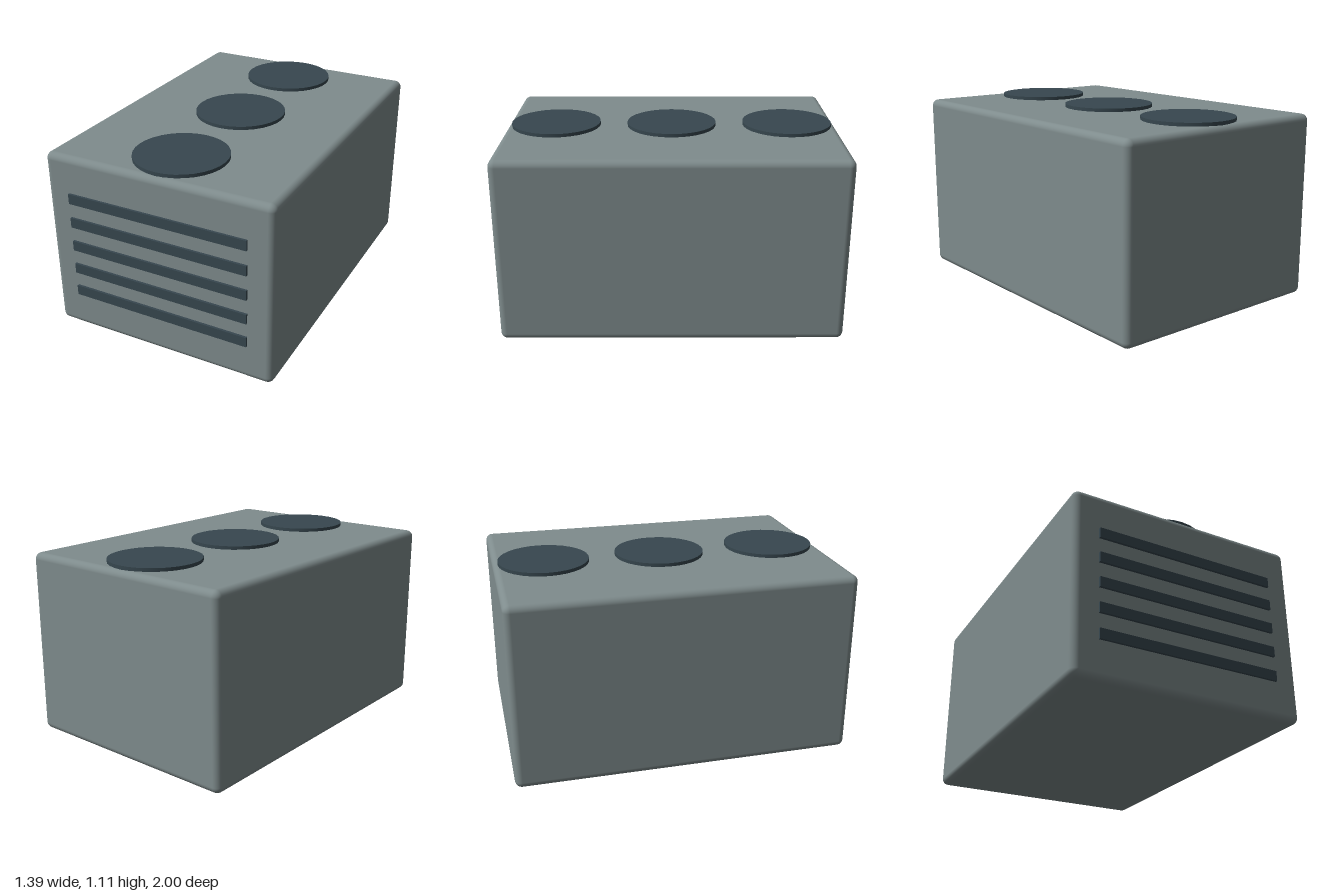
import * as THREE from 'three';
import { RoundedBoxGeometry } from 'three/addons/geometries/RoundedBoxGeometry.js';

export function createModel() {
  const group = new THREE.Group();
  const shell = new THREE.MeshStandardMaterial({ color: 0x7f8c8d });
  const dark = new THREE.MeshStandardMaterial({ color: 0x37474f });

  const add = (name, geometry, material, x, y, z) => {
    const mesh = new THREE.Mesh(geometry, material);
    mesh.name = name;
    mesh.position.set(x, y, z);
    group.add(mesh);
  };

  // Rounded housing
  const bodyZ = -0.007;
  add('housing', new RoundedBoxGeometry(1.39, 1.094, 1.986, 4, 0.04), shell, 0, 0.547, bodyZ);

  // Round fan covers along the top
  const fan = new THREE.CylinderGeometry(0.267, 0.267, 0.04, 32);
  for (let i = -1; i <= 1; i++) {
    add(`fanCover${i + 2}`, fan, dark, 0, 1.094, bodyZ + i * 0.697);
  }

  // Horizontal vent slats on the front
  const slat = new THREE.BoxGeometry(1.094, 0.06, 0.028);
  for (let i = 0; i < 5; i++) {
    add(`ventSlat${i + 1}`, slat, dark, 0, 0.25 + i * 0.149, 0.986);
  }

  return group;
}
